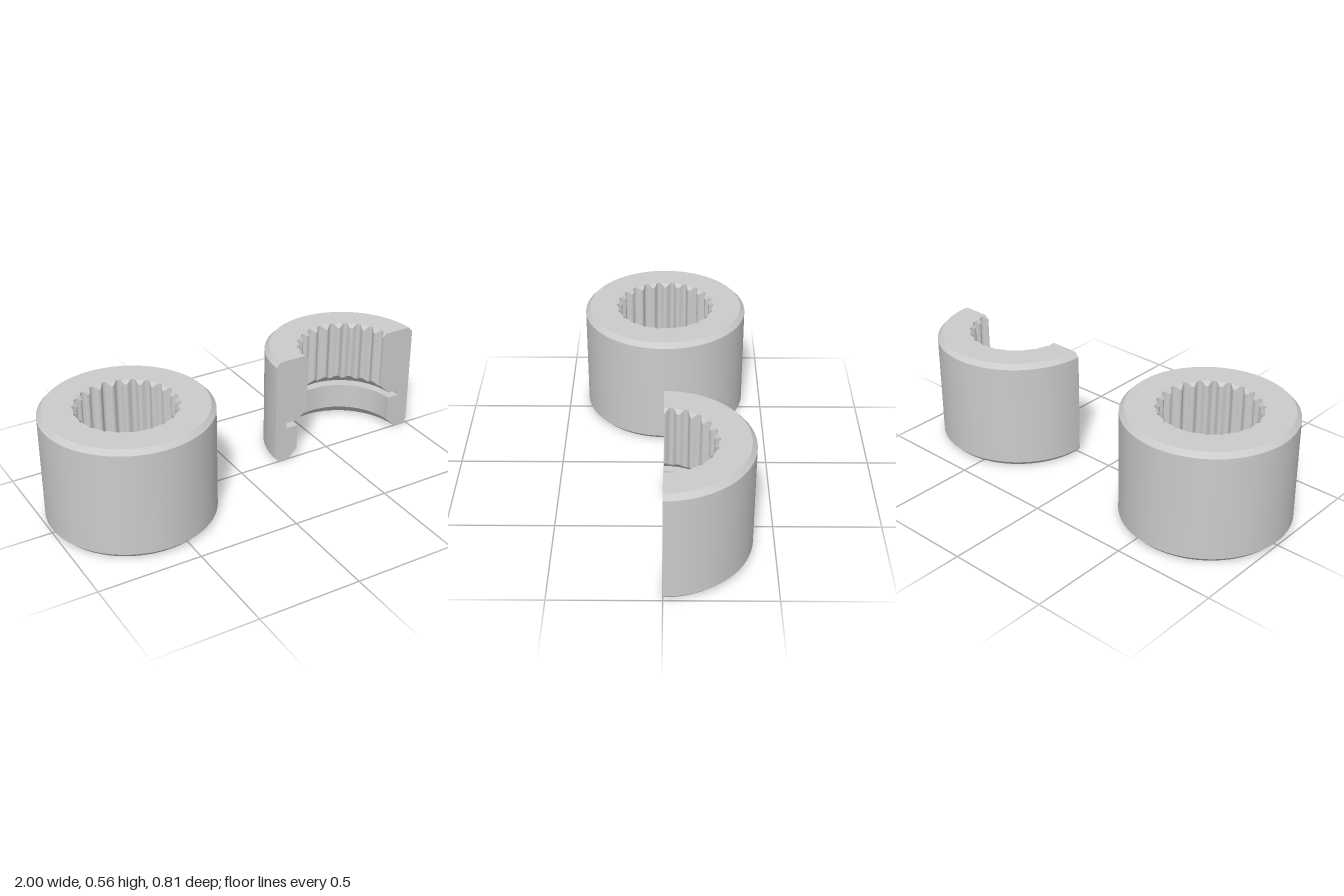
import * as THREE from 'three';
import { mergeGeometries } from 'three/addons/utils/BufferGeometryUtils.js';

const TEETH = 22;
const STEPS = TEETH * 12;
const HEIGHT = 0.555;

// Radius of the internal spline: rounded teeth with slightly flattened tips and roots
function splineRadius(a) {
  const c = THREE.MathUtils.clamp(1.2 * Math.cos(TEETH * a), -1, 1);
  return 0.234 - 0.011 * c;
}

// Closed cross-section [radius, y] at angle a: up the outside, down the bore
function profile(a) {
  const s = splineRadius(a);
  const lip = Math.max(s, 0.24);
  return [
    [0.381, 0], [0.403, 0.023], [0.403, HEIGHT - 0.023], [0.381, HEIGHT],
    [lip, HEIGHT], [s, HEIGHT - (lip - s)],          // chamfered tooth tops
    [s, 0.21 + 0.278 - s], [0.278, 0.21],            // cone under the teeth
    [0.342, 0.21], [0.342, 0.18], [0.278, 0.18],     // retaining groove
    [0.278, 0.05], [0.328, 0], [0.381, 0],           // plain bore and bottom chamfer
  ];
}

// Sweep the section around y; each band has its own vertices so its rims stay sharp
function sweep(start, length) {
  const closed = length > 6;
  const steps = Math.round(STEPS * length / (Math.PI * 2));
  const columns = closed ? steps : steps + 1;
  const angles = Array.from({ length: columns }, (_, j) => start + length * j / steps);
  const sections = angles.map(profile);
  const bands = [];
  for (let i = 0; i < sections[0].length - 1; i++) {
    const pos = [], index = [];
    angles.forEach((a, j) => {
      for (const [r, y] of [sections[j][i], sections[j][i + 1]])
        pos.push(r * Math.cos(a), y, r * Math.sin(a));
    });
    for (let j = 0; j < steps; j++) {
      const p = 2 * j, q = 2 * ((j + 1) % columns);
      index.push(p, p + 1, q, p + 1, q + 1, q);
    }
    const g = new THREE.BufferGeometry();
    g.setAttribute('position', new THREE.Float32BufferAttribute(pos, 3));
    g.setIndex(index);
    g.computeVertexNormals();
    bands.push(g);
  }
  return mergeGeometries(bands);
}

export function createModel() {
  const model = new THREE.Group();
  const material = new THREE.MeshStandardMaterial({ color: 0xcccccc });

  // Whole sleeve
  const whole = new THREE.Mesh(sweep(0, Math.PI * 2), material);
  whole.name = 'splinedSleeve';
  whole.position.x = -0.597;
  model.add(whole);

  // Sectioned sleeve: rear half with two flat cut faces
  const section = new THREE.Group();
  section.name = 'sectionedSleeve';
  section.position.x = 0.597;
  const half = new THREE.Mesh(sweep(Math.PI, Math.PI), material);
  half.name = 'halfSleeve';
  section.add(half);
  for (const [side, name] of [[1, 'leftCutFace'], [-1, 'rightCutFace']]) {
    const outline = profile(0).slice(0, -1).map(([r, y]) => new THREE.Vector2(side * r, y));
    const face = new THREE.Mesh(new THREE.ShapeGeometry(new THREE.Shape(outline)), material);
    face.name = name;
    section.add(face);
  }
  model.add(section);
  return model;
}
